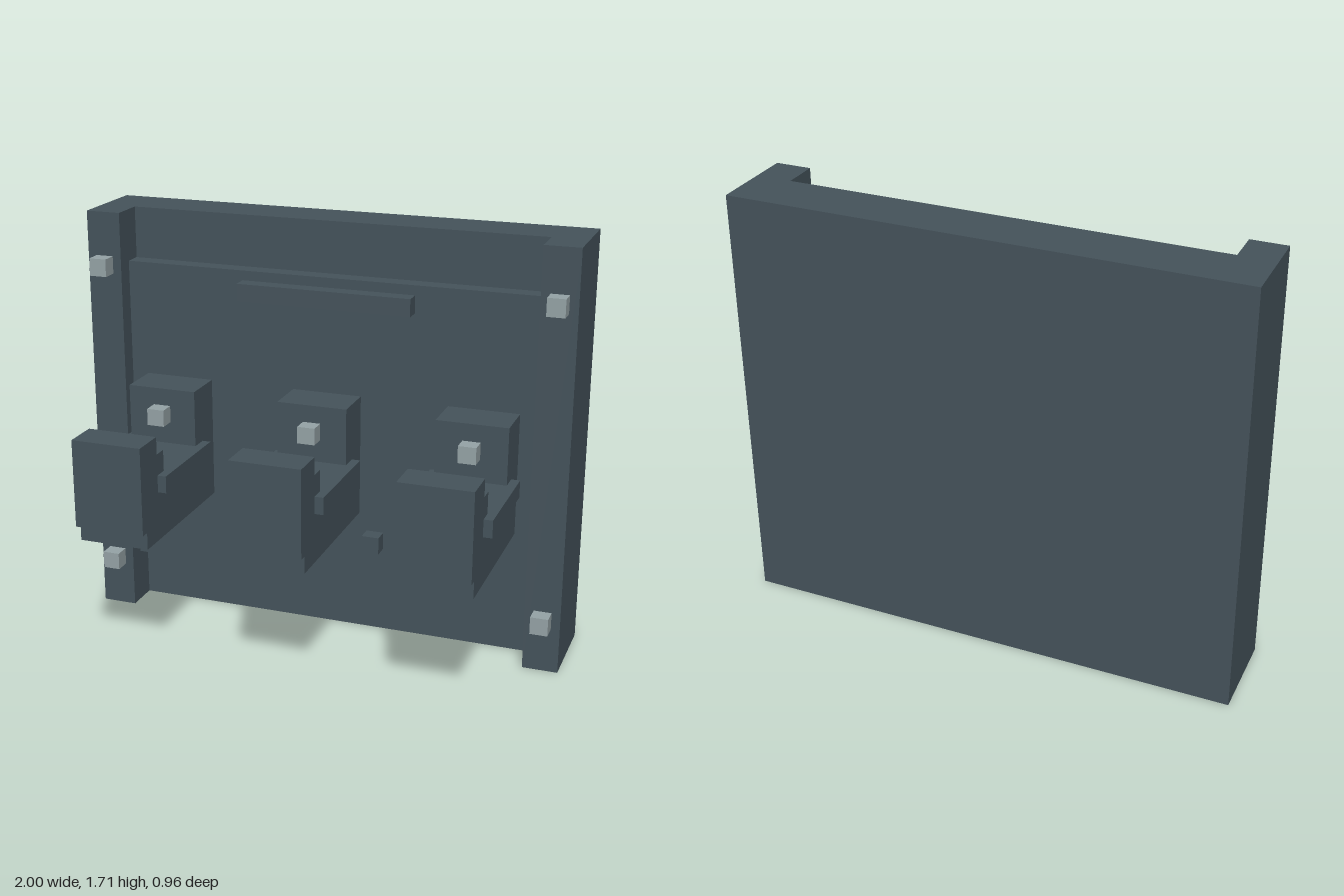
import * as THREE from 'three';

export function createModel() {
  const model = new THREE.Group();
  model.name = 'wallHookRack';

  const slate = new THREE.MeshStandardMaterial({ color: 0x45535b });
  slate.name = 'dark slate';
  const steel = new THREE.MeshStandardMaterial({ color: 0x95a3a6 });
  steel.name = 'light steel';

  // Box given by its minimum and maximum on each axis
  function box(parent, name, material, [x0, x1], [y0, y1], [z0, z1]) {
    const mesh = new THREE.Mesh(new THREE.BoxGeometry(x1 - x0, y1 - y0, z1 - z0), material);
    mesh.position.set((x0 + x1) / 2, (y0 + y1) / 2, (z0 + z1) / 2);
    mesh.name = name;
    parent.add(mesh);
  }
  const span = (centre, size) => [centre - size / 2, centre + size / 2];
  const unit = 0.0714;

  // Back board with raised panel
  box(model, 'backBoard', slate, [-1, 1], [0, 1.714], [-0.482, -0.268]);
  box(model, 'raisedPanel', slate, [-0.857, 0.857], [0.22, 1.505], [-0.268, -0.196]);

  // Side rails, each with two bolts
  for (const side of [-1, 1]) {
    box(model, 'sideRail', slate, span(side * 0.9285, 0.143), [0, 1.714], [-0.268, -0.125]);
    for (const y of [0.22, 1.5]) {
      box(model, 'railBolt', steel, span(side * 0.9285, unit), span(y, unit), [-0.125, -0.06]);
    }
  }

  // Top bar and the row of small pegs
  box(model, 'topBar', slate, span(0, 0.714), span(1.43, unit), [-0.196, -0.132]);
  for (const x of [-0.36, -0.074, 0.21, 0.497]) {
    box(model, 'smallPeg', slate, span(x, unit), span(0.43, unit), [-0.196, -0.132]);
  }

  // Three hooks
  for (const x of [-0.643, 0, 0.643]) {
    const hook = new THREE.Group();
    hook.name = 'hook';
    hook.position.x = x;
    const wide = span(0, 0.286);
    box(hook, 'hookArm', slate, wide, [0.54, 0.807], [-0.196, 0.446]);
    box(hook, 'hookMount', slate, wide, [0.807, 1.036], [-0.196, -0.018]);
    box(hook, 'hookLip', slate, wide, [0.61, 0.964], [0.339, 0.482]);
    box(hook, 'lipStep', slate, wide, [0.807, 0.893], [0.282, 0.339]);
    for (const side of [-1, 1]) {
      box(hook, 'armFlange', slate, span(side * 0.1605, 0.035), [0.738, 0.807], [-0.089, 0.339]);
    }
    box(hook, 'mountBolt', steel, span(0, unit), [0.898, 0.966], [-0.018, 0.047]);
    model.add(hook);
  }

  return model;
}
